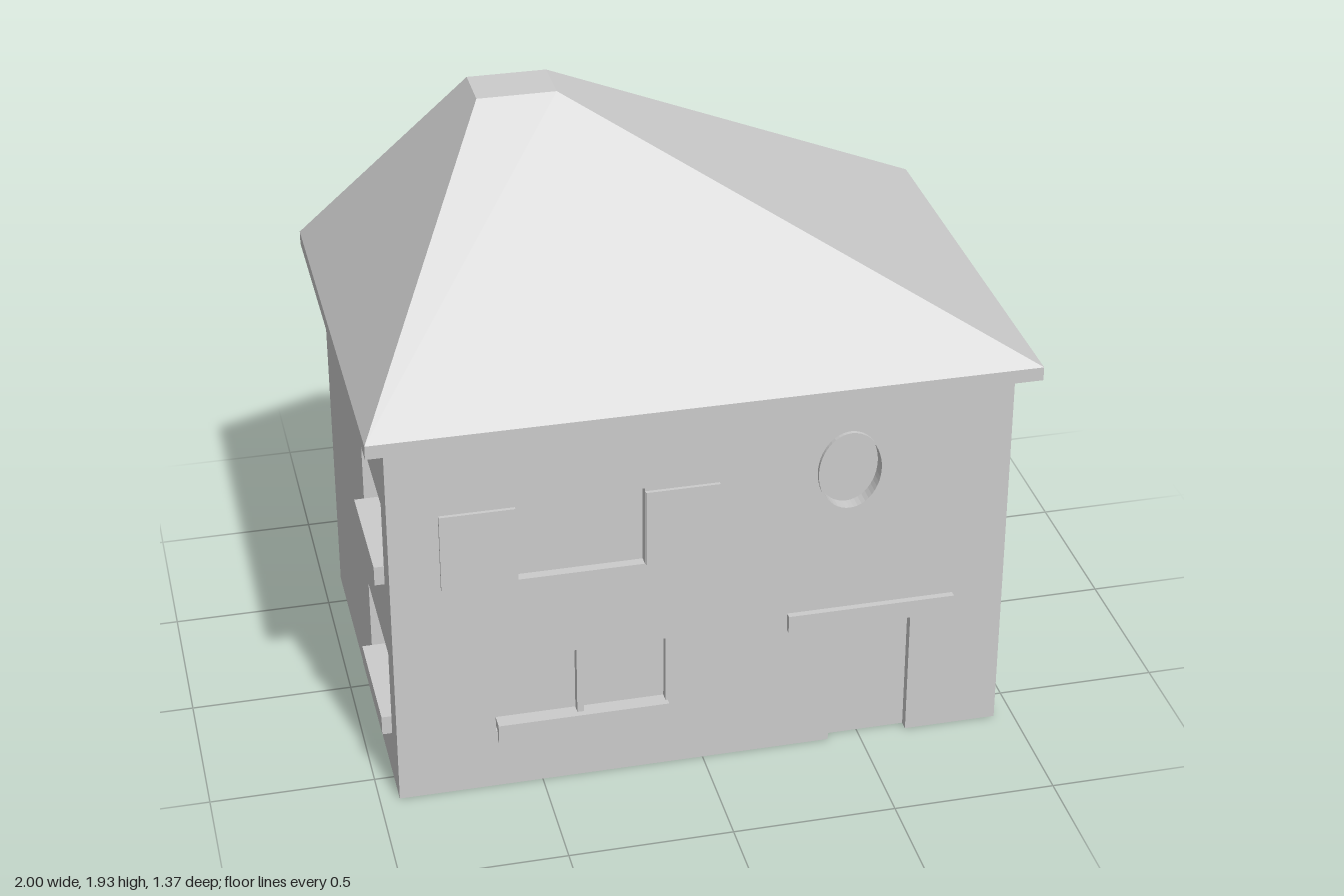
import * as THREE from 'three';

export function createModel() {
  const house = new THREE.Group();
  house.name = 'house';
  const material = new THREE.MeshStandardMaterial({ color: 0xcccccc });

  function add(name, geometry) {
    const mesh = new THREE.Mesh(geometry, material);
    mesh.name = name;
    house.add(mesh);
    return mesh;
  }

  // Box given by its limits on each axis
  function box(name, x0, x1, y0, y1, z0, z1) {
    const mesh = add(name, new THREE.BoxGeometry(x1 - x0, y1 - y0, z1 - z0));
    mesh.position.set((x0 + x1) / 2, (y0 + y1) / 2, (z0 + z1) / 2);
    return mesh;
  }

  const rectHole = (x0, x1, y0, y1) => new THREE.Path([
    new THREE.Vector2(x0, y0), new THREE.Vector2(x0, y1),
    new THREE.Vector2(x1, y1), new THREE.Vector2(x1, y0),
  ]);
  const ellipse = (Type, rx, ry) =>
    new Type().absellipse(0.441, 0.97, rx, ry, 0, Math.PI * 2, false, 0);
  const extrude = (shape, depth) =>
    new THREE.ExtrudeGeometry(shape, { depth, bevelEnabled: false, curveSegments: 24 });

  // Main dimensions
  const W = 0.94, H = 1.24, BACK = -0.64, FRONT = 0.613;
  const RECESS = 0.03, SIDE = 0.1;
  const inner = FRONT - RECESS;

  // Solid core; its faces show as panes and door inside the openings
  box('body', -W + SIDE, W, 0, H, BACK, inner);

  // Front wall, with the door as a notch reaching the ground
  const front = new THREE.Shape([
    [-W, 0], [0.4, 0], [0.4, 0.44], [0.65, 0.44], [0.65, 0], [W, 0], [W, H], [-W, H],
  ].map(([x, y]) => new THREE.Vector2(x, y)));
  front.holes.push(
    rectHole(-0.56, -0.18, 0.73, 0.99),
    rectHole(-0.64, -0.39, 0.2, 0.455),
    rectHole(-0.37, -0.117, 0.2, 0.455),
    ellipse(THREE.Path, 0.095, 0.126),
  );
  add('frontWall', extrude(front, RECESS)).position.z = inner;

  // Side wall with two deeper window openings; shape x runs along z
  const side = new THREE.Shape([
    [BACK, 0], [inner, 0], [inner, H], [BACK, H],
  ].map(([z, y]) => new THREE.Vector2(z, y)));
  side.holes.push(rectHole(0.12, 0.51, 0.2, 0.46), rectHole(0.12, 0.51, 0.74, 0.98));
  const sideWall = add('sideWall', extrude(side, SIDE));
  sideWall.rotation.y = -Math.PI / 2;
  sideWall.position.x = -W + SIDE;

  // Side window sills
  for (const y of [0.17, 0.705]) {
    box('sideSill', -0.97, -W + SIDE, y, y + 0.062, 0.12, 0.51);
  }

  // Shutters, round window frame, front sill and door canopy
  box('shutter', -0.79, -0.565, 0.73, 0.98, inner, 0.624);
  box('shutter', -0.178, 0.045, 0.73, 0.98, inner, 0.624);
  const ring = ellipse(THREE.Shape, 0.098, 0.13);
  ring.holes.push(ellipse(THREE.Path, 0.095, 0.126));
  add('roundWindowFrame', extrude(ring, 0.042)).position.z = inner;
  box('frontSill', -0.635, -0.11, 0.167, 0.23, inner, 0.633);
  box('doorCanopy', 0.26, 0.78, 0.428, 0.487, inner, 0.633);

  // Eaves slab and off-centre hipped roof with a small flat top
  const EAVE = 1.283, TOP = 1.927, RZ = 0.686;
  box('eaves', -1, 1, H, EAVE, -RZ, RZ);
  const roof = new THREE.BoxGeometry(2, 1, 2);
  const p = roof.attributes.position;
  for (let i = 0; i < p.count; i++) {
    const right = p.getX(i) > 0, near = p.getZ(i) > 0;
    if (p.getY(i) > 0) p.setXYZ(i, right ? -0.27 : -0.512, TOP, near ? -0.15 : -0.313);
    else p.setXYZ(i, right ? 1 : -1, EAVE, near ? RZ : -RZ);
  }
  roof.computeVertexNormals();
  add('roof', roof);

  return house;
}
